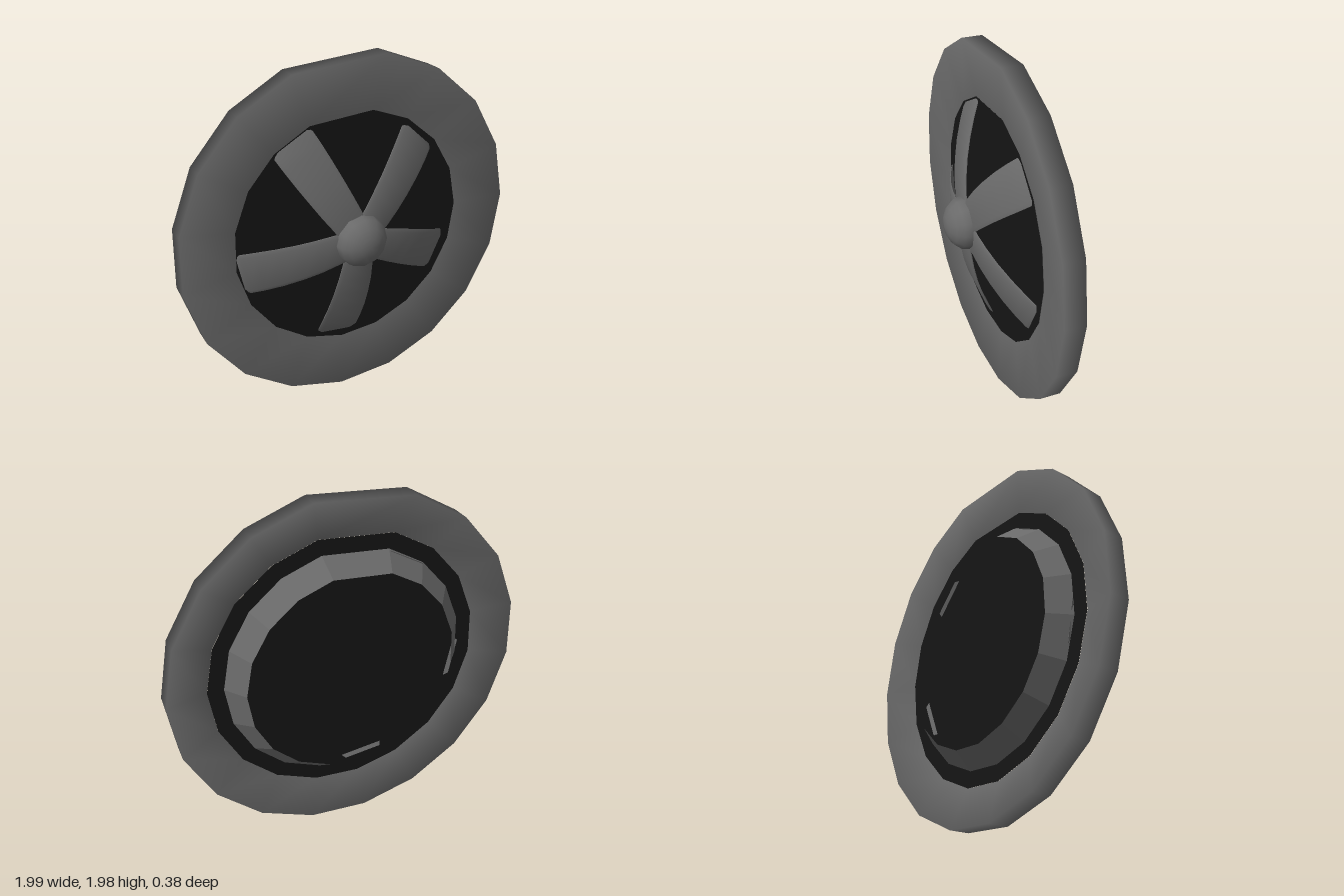
import * as THREE from 'three';
import { toCreasedNormals } from 'three/addons/utils/BufferGeometryUtils.js';

const grey = new THREE.MeshStandardMaterial({ color: 0x6a6a6a });
const facetGrey = new THREE.MeshStandardMaterial({ color: 0x6a6a6a, flatShading: true });
const black = new THREE.MeshStandardMaterial({ color: 0x151515, side: THREE.DoubleSide });

// Uneven 18-sided outline: regular steps with one wider side at the top
const SIDES = 18;
const angle = (i) => THREE.MathUtils.degToRad(110 + 19.33 * i);

function geometry(positions, index) {
  const g = new THREE.BufferGeometry();
  g.setAttribute('position', new THREE.Float32BufferAttribute(positions, 3));
  g.setIndex(index);
  g.computeVertexNormals();
  return g;
}

// Sweeps a profile of [radius, z] points round the outline, smooth all over
function spin(name, profile, material) {
  const pos = [], index = [], n = profile.length;
  for (let i = 0; i < SIDES; i++) {
    for (const [r, z] of profile) pos.push(r * Math.cos(angle(i)), r * Math.sin(angle(i)), z);
    for (let p = 0; p < n - 1; p++) {
      const a = i * n + p, b = ((i + 1) % SIDES) * n + p;
      index.push(a, b, b + 1, a, b + 1, a + 1);
    }
  }
  const mesh = new THREE.Mesh(geometry(pos, index), material);
  mesh.name = name;
  return mesh;
}

// One thin blade along +x, arched back towards the rim, with bevelled long edges
function bladeGeometry() {
  // distance from hub, clockwise edge, anticlockwise edge
  const stations = [
    [0.06, -0.08, 0.09], [0.15, -0.09, 0.096], [0.25, -0.097, 0.108],
    [0.35, -0.104, 0.116], [0.46, -0.112, 0.123], [0.56, -0.119, 0.126],
    [0.63, -0.122, 0.126], [0.653, -0.114, 0.105],
  ];
  const pos = [], index = [], N = 6;
  stations.forEach(([u, v0, v1], s) => {
    const z = 0.085 - 0.385 * u * u;
    const loop = [
      [v0, -0.013], [v0, -0.008], [v0 + 0.02, 0],
      [v1 - 0.02, 0], [v1, -0.008], [v1, -0.013],
    ];
    for (const [v, dz] of loop) pos.push(u, v, z + dz);
    if (s === 0) return;
    for (let k = 0; k < N; k++) {
      const a = (s - 1) * N + k, b = (s - 1) * N + ((k + 1) % N);
      index.push(a, a + N, b + N, a, b + N, b);
    }
  });
  // end caps
  const last = (stations.length - 1) * N;
  for (let k = 1; k < N - 1; k++) {
    index.push(0, k, k + 1, last, last + k + 1, last + k);
  }
  return toCreasedNormals(geometry(pos, index), 0.5);
}

export function createModel() {
  const model = new THREE.Group();
  model.name = 'wheel';

  const wheel = new THREE.Group();
  wheel.name = 'wheelBody';
  wheel.position.y = 1;
  model.add(wheel);

  // Tyre: straight tread, both side walls sloping in to the dark disc
  wheel.add(spin('tyre', [[0.775, -0.08], [1, -0.15], [1, -0.035], [0.69, -0.077]], grey));

  // Flat dark disc behind the blades, showing on both sides
  wheel.add(spin('darkDisc', [[0.775, -0.081], [0, -0.081]], black));

  // Faceted rim wall standing out from the back of the disc, open at the end
  wheel.add(spin('rimWall', [[0.595, -0.19], [0.69, -0.075]], facetGrey));

  // Hub and five blades, set slightly off the tyre centre
  const center = new THREE.Group();
  center.name = 'hubAndBlades';
  center.position.set(-0.02, 0.01, 0);
  wheel.add(center);

  const blade = bladeGeometry();
  for (let i = 0; i < 5; i++) {
    const mesh = new THREE.Mesh(blade, grey);
    mesh.name = 'blade' + (i + 1);
    mesh.rotation.z = THREE.MathUtils.degToRad(47 + 72 * i);
    center.add(mesh);
  }

  // Domed hub cap with a flat back
  const dome = new THREE.SphereGeometry(0.15, 12, 4, 0, Math.PI * 2, 0, Math.PI / 2);
  dome.rotateX(Math.PI / 2).scale(1, 1, 0.8);
  const hub = new THREE.Mesh(dome, grey);
  hub.name = 'hubCap';
  hub.position.z = 0.072;
  const hubBack = new THREE.Mesh(new THREE.CircleGeometry(0.15, 12).rotateY(Math.PI), grey);
  hubBack.name = 'hubBack';
  hubBack.position.z = 0.072;
  center.add(hub, hubBack);

  return model;
}
